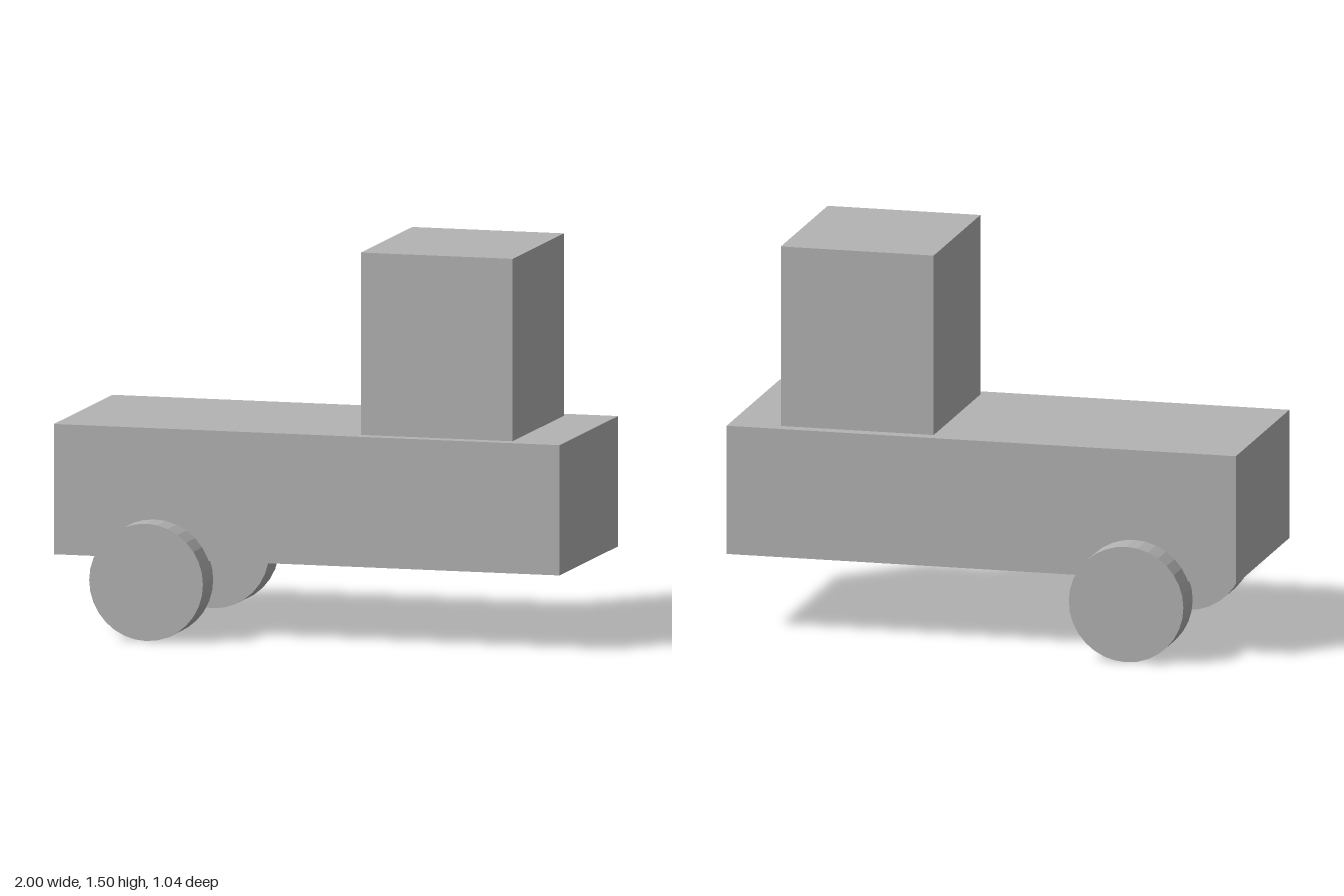
import * as THREE from 'three';

export function createModel() {
  const model = new THREE.Group();
  model.name = 'truck';

  const grey = new THREE.MeshStandardMaterial({ color: 0xb3b3b3 });
  grey.name = 'grey';

  const addPart = (name, geometry, x, y, z) => {
    const mesh = new THREE.Mesh(geometry, grey);
    mesh.name = name;
    mesh.position.set(x, y, z);
    model.add(mesh);
  };

  // Long body with a tall cab standing on it
  addPart('body', new THREE.BoxGeometry(2, 0.5, 0.8), 0, 0.55, 0);
  addPart('cab', new THREE.BoxGeometry(0.6, 0.7, 0.7), 0.5, 1.15, 0);

  // One pair of faceted wheels, slightly sunk into the body sides
  const wheel = new THREE.CylinderGeometry(0.225, 0.225, 0.14, 32)
    .rotateX(Math.PI / 2)
    .toNonIndexed();
  wheel.computeVertexNormals();
  for (const side of [1, -1]) {
    addPart(side > 0 ? 'frontSideWheel' : 'backSideWheel', wheel, -0.6, 0.225, side * 0.45);
  }

  return model;
}
